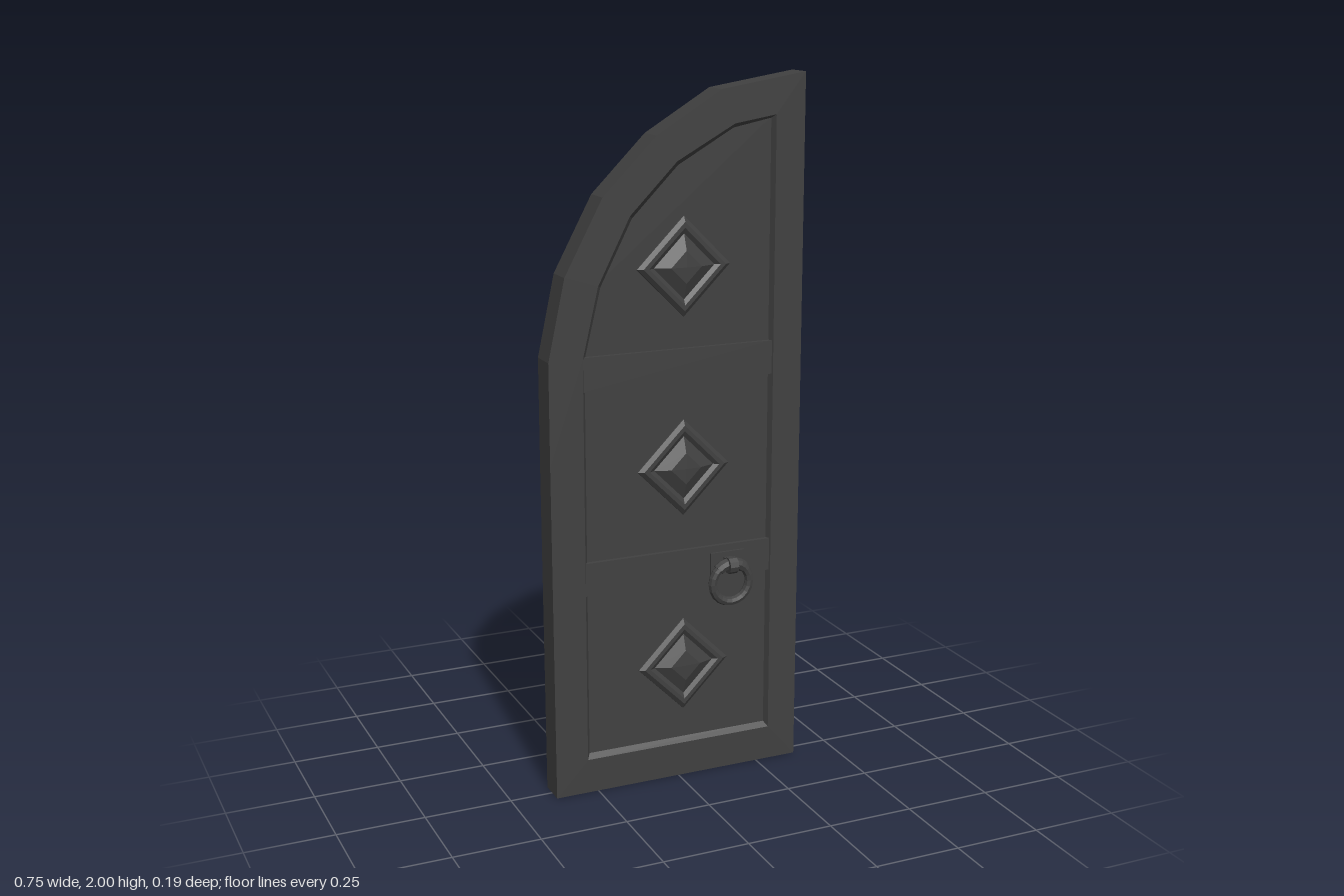
import * as THREE from 'three';

const FACE = 0.04;    // half thickness of the frame
const PANEL = 0.024;  // half thickness of the recessed panel
const material = new THREE.MeshStandardMaterial({ color: 0x404040, flatShading: true, side: THREE.DoubleSide });

function addMesh(parent, name, geometry, x = 0, y = 0, z = 0) {
  const mesh = new THREE.Mesh(geometry, material);
  mesh.name = name;
  mesh.position.set(x, y, z);
  parent.add(mesh);
  return mesh;
}

const toVectors = (points) => points.map(([x, y]) => new THREE.Vector2(x, y));

function slab(points, halfDepth, hole) {
  const shape = new THREE.Shape(toVectors(points));
  if (hole) shape.holes.push(new THREE.Path(toVectors(hole)));
  return new THREE.ExtrudeGeometry(shape, { depth: halfDepth * 2, bevelEnabled: false }).translate(0, 0, -halfDepth);
}

// Sloping strip between two matching loops at different depths
function strip(outer, inner, zOuter, zInner) {
  const pos = [];
  outer.forEach((a, i) => {
    const j = (i + 1) % outer.length;
    const A = [...a, zOuter], B = [...outer[j], zOuter];
    const C = [...inner[j], zInner], D = [...inner[i], zInner];
    pos.push(...A, ...B, ...C, ...A, ...C, ...D);
  });
  const g = new THREE.BufferGeometry();
  g.setAttribute('position', new THREE.Float32BufferAttribute(pos, 3));
  g.computeVertexNormals();
  return g;
}

// Four-sided stud: raised rim, groove and blunt pyramid
function studGeometry() {
  const profile = [[0.14, 0.018], [0.138, 0.028], [0.122, 0.037], [0.106, 0.037], [0.09, 0.029], [0.045, 0.046], [0, 0.048]];
  return new THREE.LatheGeometry(toVectors(profile), 4).rotateX(Math.PI / 2);
}

// Ring pull: backplate, lug and hanging ring with a thick collar at the top
function ringPull() {
  const pull = new THREE.Group();
  pull.name = 'ringPull';
  addMesh(pull, 'backplate', new THREE.BoxGeometry(0.105, 0.09, 0.012), 0, 0.62, 0.038);
  addMesh(pull, 'lugStem', new THREE.BoxGeometry(0.026, 0.036, 0.034), 0, 0.632, 0.055);
  addMesh(pull, 'lugEye', new THREE.CylinderGeometry(0.024, 0.024, 0.026, 10).rotateZ(Math.PI / 2), 0, 0.632, 0.07);
  addMesh(pull, 'ring', new THREE.TorusGeometry(0.057, 0.013, 8, 20), 0, 0.58, 0.066);
  const half = 0.72;
  const collar = new THREE.TorusGeometry(0.057, 0.017, 8, 6, half * 2).rotateZ(Math.PI / 2 - half);
  addMesh(pull, 'ringCollar', collar, 0, 0.58, 0.066);
  // Closed ends of the collar
  for (const s of [-1, 1]) {
    const cap = addMesh(pull, 'collarEnd', new THREE.CylinderGeometry(0.017, 0.017, 0.004, 8).rotateZ(Math.PI / 2),
      s * 0.057 * Math.sin(half), 0.58 + 0.057 * Math.cos(half), 0.066);
    cap.rotation.z = -s * half;
  }
  return pull;
}

export function createModel() {
  const door = new THREE.Group();
  door.name = 'archedDoorLeaf';

  const outline = [[-0.376, 0], [0.376, 0], [0.376, 2], [0.125, 1.96], [-0.065, 1.845],
    [-0.22, 1.69], [-0.33, 1.485], [-0.379, 1.26], [-0.379, 0.97]];
  const opening = [[-0.281, 0.1], [0.289, 0.1], [0.289, 1.888], [0.165, 1.868], [-0.005, 1.775],
    [-0.142, 1.637], [-0.235, 1.455], [-0.281, 1.26]];
  const inset = [[-0.27, 0.113], [0.281, 0.113], [0.281, 1.878], [0.168, 1.856], [0.004, 1.763],
    [-0.13, 1.628], [-0.222, 1.45], [-0.27, 1.255]];

  addMesh(door, 'frame', slab(outline, FACE, opening));
  addMesh(door, 'panel', slab(opening, PANEL));

  // Cross rails
  for (const y of [0.637, 1.217]) {
    addMesh(door, 'crossRail', new THREE.BoxGeometry(0.566, 0.095, 0.074), 0.003, y, 0);
  }

  // Mouldings, studs and ring pulls on both faces
  const stud = studGeometry();
  for (const side of [1, -1]) {
    addMesh(door, 'panelMoulding', strip(opening, inset, side * FACE, side * PANEL));
    for (const y of [0.34, 0.925, 1.49]) {
      addMesh(door, 'diamondStud', stud, 0.02, y, 0).rotation.y = side > 0 ? 0 : Math.PI;
    }
    const pull = ringPull();
    pull.position.x = 0.151;
    if (side < 0) pull.rotation.y = Math.PI;
    door.add(pull);
  }
  return door;
}
